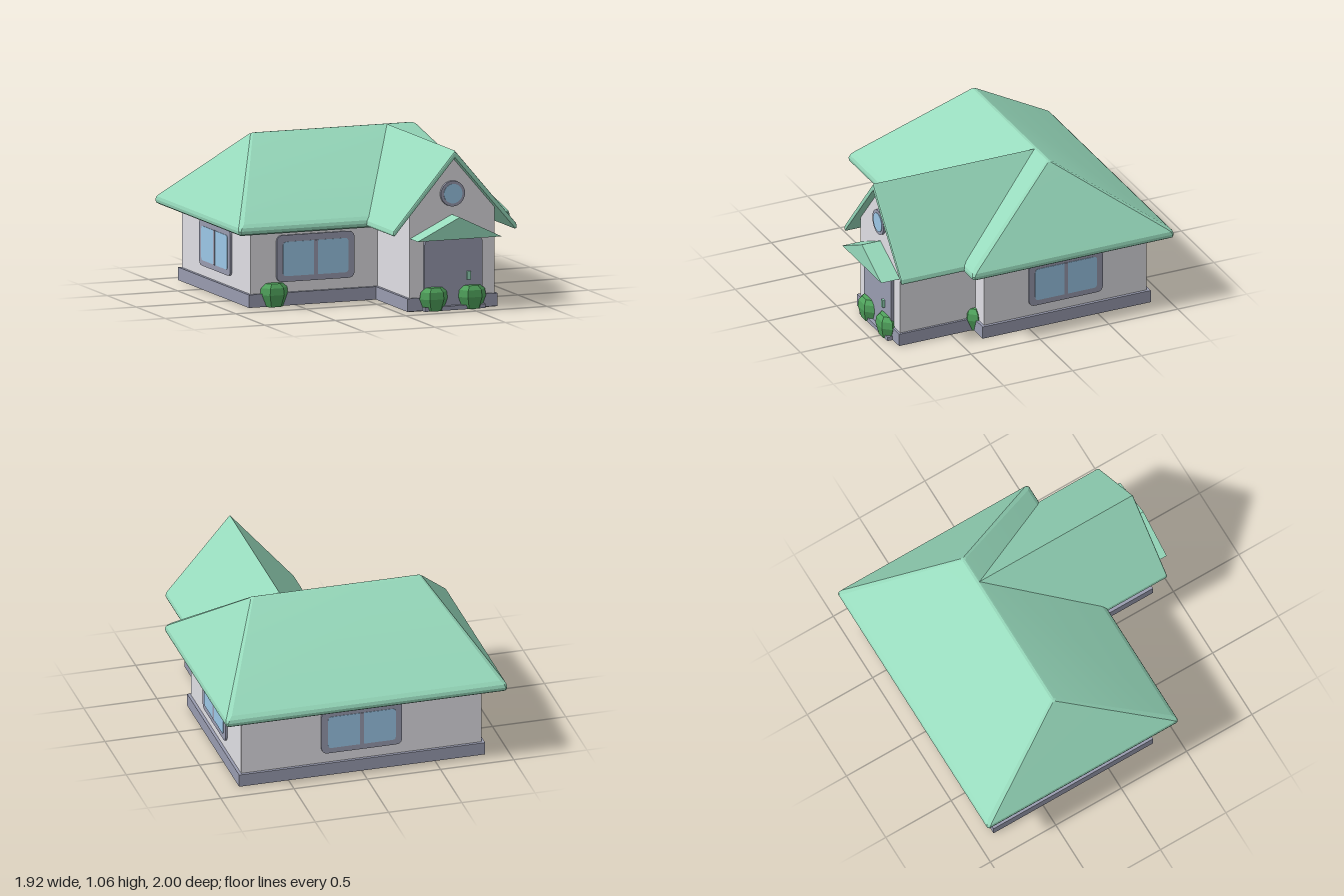
import * as THREE from 'three';
import { toCreasedNormals } from 'three/addons/utils/BufferGeometryUtils.js';

const mat = (name, color, extra = {}) => {
  const m = new THREE.MeshStandardMaterial({ color, ...extra });
  m.name = name;
  return m;
};

const roundedRect = (w, h, r) => {
  const s = new THREE.Shape(), x = w / 2, y = h / 2;
  s.moveTo(-x + r, -y);
  s.lineTo(x - r, -y); s.quadraticCurveTo(x, -y, x, -y + r);
  s.lineTo(x, y - r); s.quadraticCurveTo(x, y, x - r, y);
  s.lineTo(-x + r, y); s.quadraticCurveTo(-x, y, -x, y - r);
  s.lineTo(-x, -y + r); s.quadraticCurveTo(-x, -y, -x + r, -y);
  return s;
};

const polygon = (pts) => new THREE.Shape(pts.map(([x, y]) => new THREE.Vector2(x, y)));

// Straight extrusion of a shape from z0 to z1, with an optional inward edge bevel
const prism = (shape, z0, z1, bevel = 0) => {
  const g = new THREE.ExtrudeGeometry(shape, {
    depth: z1 - z0 - 2 * bevel, curveSegments: 6, bevelEnabled: bevel > 0,
    bevelThickness: bevel, bevelSize: bevel, bevelOffset: -bevel, bevelSegments: 2,
  });
  return g.translate(0, 0, z0 + bevel);
};

const box = (x0, x1, y0, y1, z0, z1) =>
  new THREE.BoxGeometry(x1 - x0, y1 - y0, z1 - z0)
    .translate((x0 + x1) / 2, (y0 + y1) / 2, (z0 + z1) / 2);

// Hip roof: stacked rectangles with chamfered corners [halfX, halfZ, y, chamfer]
function hipRoof(rings, cz) {
  const pos = [], idx = [], n = 8;
  for (const [hx, hz, y, c] of rings) {
    const ring = [[hx, -hz + c], [hx, hz - c], [hx - c, hz], [-hx + c, hz],
      [-hx, hz - c], [-hx, -hz + c], [-hx + c, -hz], [hx - c, -hz]];
    for (const [x, z] of ring) pos.push(x, y, z + cz);
  }
  for (let r = 0; r < rings.length - 1; r++) {
    for (let i = 0; i < n; i++) {
      const a = r * n + i, b = r * n + (i + 1) % n;
      idx.push(a, a + n, b, b, a + n, b + n);
    }
  }
  const top = (rings.length - 1) * n;
  for (let i = 1; i < n - 1; i++) {
    idx.push(0, i, i + 1);
    idx.push(top, top + i + 1, top + i);
  }
  const g = new THREE.BufferGeometry();
  g.setAttribute('position', new THREE.Float32BufferAttribute(pos, 3));
  g.setIndex(idx);
  return toCreasedNormals(g, 0.15);
}

export function createModel() {
  const house = new THREE.Group();
  house.name = 'house';
  const wall = mat('wall grey', 0xe0dfe4);
  const trim = mat('trim slate', 0x999cb0);
  const roof = mat('roof green', 0x97dabc);
  const glass = mat('glass blue', 0x9ecaea);
  const leaf = mat('shrub green', 0x50a35c, { flatShading: true });

  const add = (name, geometry, material, parent = house) => {
    const m = new THREE.Mesh(geometry, material);
    m.name = name;
    parent.add(m);
    return m;
  };

  // Foundations, with the wing floor showing underneath
  add('mainBase', box(-0.84, 0.84, 0.004, 0.09, -0.88, 0.34), trim);
  add('wingBase', box(0.06, 0.7, 0.004, 0.09, 0.34, 0.88), trim);
  add('wingFloor', box(0.07, 0.69, 0, 0.02, -0.2, 0.87), wall);
  add('doorStep', box(0.17, 0.6, 0.002, 0.03, 0.86, 0.916), trim);

  // Walls
  add('mainWalls', box(-0.82, 0.82, 0.05, 0.53, -0.86, 0.32), wall);
  add('wingWalls', prism(polygon([[0.08, 0.05], [0.685, 0.05], [0.685, 0.665],
    [0.3825, 1.015], [0.08, 0.67]]), 0.3, 0.865), wall);

  // Main hip roof with rounded eaves
  add('mainRoof', hipRoof([
    [0.943, 0.713, 0.505, 0.008],
    [0.956, 0.726, 0.514, 0.01],
    [0.96, 0.73, 0.535, 0.012],
    [0.956, 0.724, 0.556, 0.018],
    [0.94, 0.703, 0.578, 0.024],
    [0.585, 0.022, 1.053, 0.012],
    [0.565, 0.008, 1.06, 0.006],
  ], -0.265), roof);

  // Wing gable roof: folded slab running back into the main ridge
  const eave = [[0.435, 0.552], [0.44, 0.53], [0.437, 0.52], [0.427, 0.515]];
  const side = (s) => eave.map(([x, y]) => [0.3825 + s * x, y]);
  add('wingRoof', prism(polygon([[0.3825, 1.06], ...side(-1), [0.3825, 1.01],
    ...side(1).reverse()]), -0.262, 0.92, 0.009), roof);

  // Porch canopy, door and handle
  add('porchCanopy', prism(polygon([[0.085, 0.485], [0.68, 0.485], [0.3825, 0.63]]), 0.85, 1), roof);
  add('door', prism(roundedRect(0.41, 0.44, 0.03), 0.85, 0.888), trim).position.set(0.385, 0.25, 0);
  add('doorHandle', box(0.475, 0.5, 0.197, 0.25, 0.88, 0.905), roof);

  // Round gable window
  const disc = (r, d) => new THREE.CylinderGeometry(r, r, d, 32).rotateX(Math.PI / 2);
  add('roundWindowFrame', disc(0.085, 0.03), trim).position.set(0.3825, 0.77, 0.868);
  add('roundWindowGlass', disc(0.065, 0.006), glass).position.set(0.3825, 0.77, 0.884);

  // Two-pane windows on all four sides
  const addWindow = (name, width, x, z, turn) => {
    const g = new THREE.Group();
    g.name = name;
    g.position.set(x, 0.315, z);
    g.rotation.y = turn;
    add('windowFrame', prism(roundedRect(width, 0.31, 0.045), -0.02, 0.014), trim, g);
    add('windowGlass', prism(roundedRect(width - 0.088, 0.228, 0.025), 0.012, 0.017), glass, g)
      .position.y = -0.003;
    add('windowBar', box(-0.013, 0.013, -0.118, 0.112, 0.012, 0.019), trim, g);
    house.add(g);
  };
  addWindow('frontWindow', 0.55, -0.365, 0.32, 0);
  addWindow('backWindow', 0.55, 0, -0.86, Math.PI);
  addWindow('leftWindow', 0.535, 0.82, -0.268, Math.PI / 2);
  addWindow('rightWindow', 0.535, -0.82, -0.268, -Math.PI / 2);

  // Faceted six-sided shrubs, flattened against the foundations
  const profile = [[0, 0.002], [0.068, 0.002], [0.1, 0.082], [0.093, 0.128], [0.06, 0.156], [0, 0.16]]
    .map(([x, y]) => new THREE.Vector2(x, y));
  const shrub = new THREE.LatheGeometry(profile, 6, Math.PI / 6).scale(1, 1, 0.64);
  for (const [x, z] of [[-0.658, 0.328], [0.65, 0.328], [0.245, 0.885], [0.515, 0.885]]) {
    add('shrub', shrub, leaf).position.set(x, 0, z);
  }
  return house;
}
